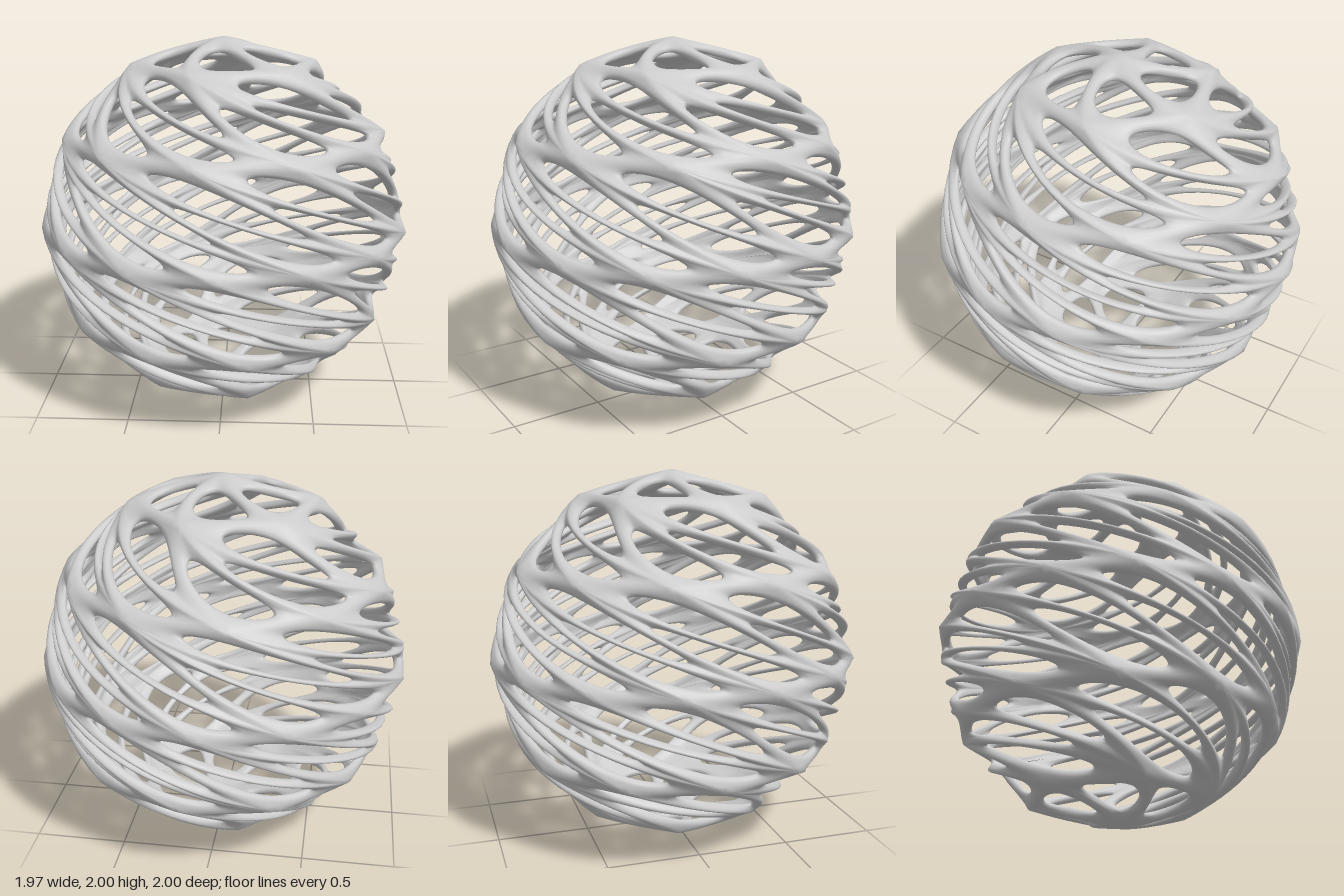
import * as THREE from 'three';
import { mergeGeometries, mergeVertices } from 'three/addons/utils/BufferGeometryUtils.js';

const THICK = 0.05;     // shell thickness
const HOLE = 0.77;      // hole size relative to its cell
const SWELL = 0.25;     // 0 = flat cells, 1 = true sphere
const STEPS = 14;       // segments around each cell corner
const ROWS = [0, 0.4, 0.72, 0.92, 1, 0.92, 0.72, 0.4, 0]; // outside, over the rim, inside
const UP = new THREE.Vector3(0, 1, 0);
const deg = Math.PI / 180;

// twist angle at a height, growing faster towards the poles
const twist = (y) => -(2.45 * y + 0.5 * y ** 3);

// node rings from the pole to the equator
const RINGS = [
  { lat: 60, count: 6, phase: 3 },
  { lat: 30, count: 11, phase: 0 },
  { lat: 0, count: 14, phase: 0 },
];

const angle = (ring, i) => (ring.phase + (i * 360) / ring.count) * deg;

function node(ring, i) {
  const a = angle(ring, i), r = Math.cos(ring.lat * deg);
  return new THREE.Vector3(r * Math.sin(a), Math.sin(ring.lat * deg), r * Math.cos(a));
}

// triangular cells of the upper half
function hemisphereCells() {
  const cells = [];
  for (let i = 0; i < RINGS[0].count; i++) cells.push([UP, node(RINGS[0], i), node(RINGS[0], i + 1)]);
  for (let k = 0; k < RINGS.length - 1; k++) {
    const a = RINGS[k], b = RINGS[k + 1];
    let i = 0, j = 0;
    while (i < a.count || j < b.count) {
      const nextA = angle(a, i) + angle(a, i + 1), nextB = angle(b, j) + angle(b, j + 1);
      if (j >= b.count || (i < a.count && nextA < nextB)) {
        cells.push([node(a, i), node(b, j), node(a, i + 1)]);
        i++;
      } else {
        cells.push([node(a, i), node(b, j), node(b, j + 1)]);
        j++;
      }
    }
  }
  return cells;
}

// swell the flat cell towards the sphere, add the shell offset, then twist by height
function place(p, offset) {
  const q = p.clone().lerp(p.clone().normalize(), SWELL);
  const spin = twist(q.y);
  q.multiplyScalar((q.length() - THICK / 2 + offset) / q.length());
  return q.applyAxisAngle(UP, spin);
}

// one cell: a rounded frame around a smooth hole
function cellGeometry(corners) {
  const centre = corners[0].clone().add(corners[1]).add(corners[2]).divideScalar(3);
  const border = [], hole = [];
  for (let c = 0; c < 3; c++) {
    const p = corners[c];
    const m0 = p.clone().add(corners[(c + 2) % 3]).multiplyScalar(0.5);
    const m1 = p.clone().add(corners[(c + 1) % 3]).multiplyScalar(0.5);
    const bend = new THREE.QuadraticBezierCurve3(m0, p, m1);
    for (let s = 0; s < STEPS; s++) {
      const t = s / STEPS;
      border.push(t < 0.5 ? m0.clone().lerp(p, t * 2) : p.clone().lerp(m1, t * 2 - 1));
      hole.push(centre.clone().lerp(bend.getPoint(t), HOLE));
    }
  }
  const n = border.length, positions = [], index = [];
  ROWS.forEach((t, r) => {
    const side = r < ROWS.length / 2 ? 1 : -1;
    const offset = side * (THICK / 2) * Math.sqrt(1 - t ** 3);
    for (let c = 0; c < n; c++) {
      positions.push(...place(border[c].clone().lerp(hole[c], t), offset).toArray());
      if (r === ROWS.length - 1) continue;
      const d = (c + 1) % n, a = r * n, b = a + n;
      index.push(a + c, a + d, b + d, a + c, b + d, b + c);
    }
  });
  const geometry = new THREE.BufferGeometry();
  geometry.setAttribute('position', new THREE.Float32BufferAttribute(positions, 3));
  geometry.setIndex(index);
  return geometry;
}

export function createModel() {
  const group = new THREE.Group();
  group.name = 'twistedLatticeSphere';

  // the lower half is the upper half turned over about the z axis
  const upper = mergeGeometries(hemisphereCells().map(cellGeometry));
  const lower = upper.clone().rotateZ(Math.PI);
  const geometry = mergeVertices(mergeGeometries([upper, lower]), 1e-4);
  geometry.computeVertexNormals();

  const shell = new THREE.Mesh(geometry, new THREE.MeshStandardMaterial({ color: 0xcccccc }));
  shell.name = 'latticeShell';
  shell.position.y = 1;
  group.add(shell);
  return group;
}
